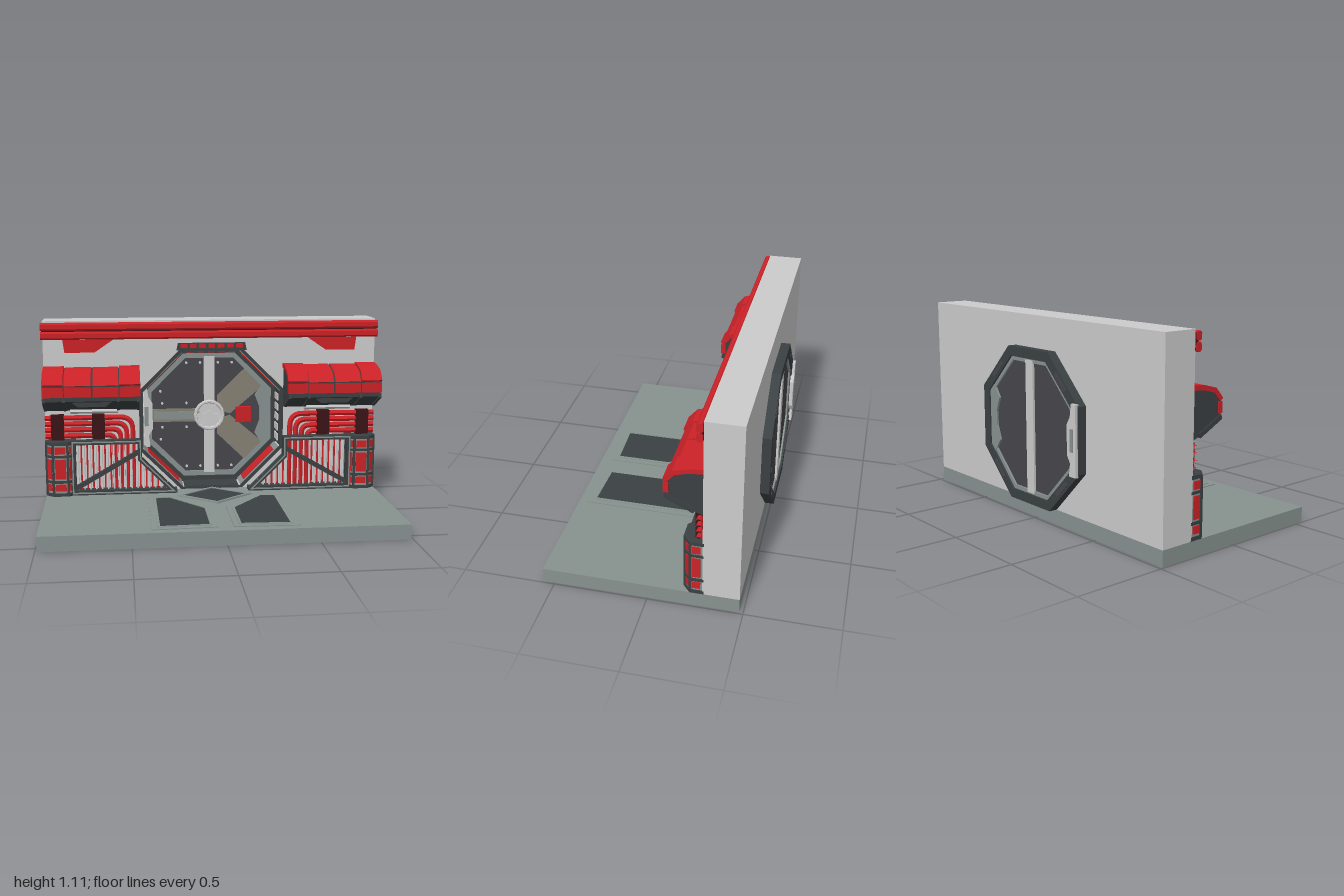
import * as THREE from 'three';

const mat = (color) => new THREE.MeshStandardMaterial({ color, flatShading: true });
const WALL = mat(0xcccccc), FLOOR = mat(0x87928f), DARK = mat(0x3b4042), PANEL = mat(0x47474b),
  RED = mat(0xcc2227), MAROON = mat(0x3a1416), BEIGE = mat(0x858173), LIGHT = mat(0xbdbdc0);

function add(parent, name, geo, material, x = 0, y = 0, z = 0) {
  const m = new THREE.Mesh(geo, material);
  m.name = name;
  m.position.set(x, y, z);
  parent.add(m);
  return m;
}
// Box given by its limits
const box = (p, name, m, x0, x1, y0, y1, z0, z1) =>
  add(p, name, new THREE.BoxGeometry(x1 - x0, y1 - y0, z1 - z0), m, (x0 + x1) / 2, (y0 + y1) / 2, (z0 + z1) / 2);
const toV = (pts) => pts.map(([a, b]) => new THREE.Vector2(a, b));
function slabGeo(pts, depth, hole) {
  const s = new THREE.Shape(toV(pts));
  if (hole) s.holes.push(new THREE.Path(toV(hole)));
  return new THREE.ExtrudeGeometry(s, { depth, bevelEnabled: false });
}
// Outline in x,y, from z0 to z1
const slab = (p, name, m, pts, z0, z1, hole) => add(p, name, slabGeo(pts, z1 - z0, hole), m, 0, 0, z0);
// Outline in z,y, from x0 to x1
function sweepX(p, name, m, pts, x0, x1) {
  return add(p, name, slabGeo(pts, x1 - x0).rotateY(-Math.PI / 2), m, x1, 0, 0);
}
// Outline in x,z, from y0 to y1
function plate(p, name, m, pts, y0, y1, hole) {
  return add(p, name, slabGeo(pts, y1 - y0, hole).rotateX(Math.PI / 2), m, 0, y1, 0);
}
// Straight bar between two x,y points
function bar(p, name, m, a, b, w, z0, z1) {
  const o = box(p, name, m, -Math.hypot(b[0] - a[0], b[1] - a[1]) / 2, Math.hypot(b[0] - a[0], b[1] - a[1]) / 2, -w / 2, w / 2, z0, z1);
  o.position.set((a[0] + b[0]) / 2, (a[1] + b[1]) / 2, (z0 + z1) / 2);
  o.rotation.z = Math.atan2(b[1] - a[1], b[0] - a[0]);
}
// Offset a closed outline by d (sign follows its winding)
function grow(pts, d) {
  const n = pts.length, s = Math.sign(THREE.ShapeUtils.area(toV(pts)));
  return pts.map((q, i) => {
    const nrm = (a, b) => { const l = Math.hypot(b[0] - a[0], b[1] - a[1]); return [s * (b[1] - a[1]) / l, -s * (b[0] - a[0]) / l]; };
    const u = nrm(pts[(i + n - 1) % n], q), v = nrm(q, pts[(i + 1) % n]), k = d / (1 + u[0] * v[0] + u[1] * v[1]);
    return [q[0] + (u[0] + v[0]) * k, q[1] + (u[1] + v[1]) * k];
  });
}
const CY = 0.51;
const oct = (r) => Array.from({ length: 8 }, (_, i) => {
  const a = Math.PI * (i + 0.5) / 4, R = r / Math.cos(Math.PI / 8);
  return [R * Math.cos(a), CY + R * Math.sin(a)];
});
const atDoor = (pts) => pts.map(([x, y]) => [x, y + CY]);

function buildFloor(root) {
  const g = new THREE.Group(); g.name = 'floor'; root.add(g);
  box(g, 'floorSlab', FLOOR, -0.99, 0.99, 0, 0.083, -0.48, 0.56);
  const side = [[0.35, -0.08], [0.27, -0.085], [0.085, 0.15], [0.085, 0.46], [0.35, 0.47]];
  const diamond = [[0, -0.27], [0.19, -0.125], [0, 0.03], [-0.19, -0.125]];
  for (const pts of [side, side.map(([x, z]) => [-x, z]), diamond]) {
    plate(g, 'floorPanel', DARK, pts, 0.08, 0.086);
    plate(g, 'floorPanelRim', FLOOR, grow(pts, pts === diamond ? 0.02 : 0.045), 0.08, 0.088, pts);
    plate(g, 'floorPanelInnerRim', FLOOR, grow(pts, 0.015), 0.08, 0.091, pts);
  }
}

function buildDoor(root) {
  const g = new THREE.Group(); g.name = 'door'; root.add(g);
  slab(g, 'doorLeaf', PANEL, oct(0.42), -0.51, -0.455);
  slab(g, 'backFrame', DARK, oct(0.425), -0.53, -0.478, oct(0.372));
  slab(g, 'backTrim', FLOOR, oct(0.372), -0.52, -0.505, oct(0.35));
  slab(g, 'frontFrame', DARK, oct(0.42), -0.46, -0.435, oct(0.385));
  slab(g, 'frontTrim', FLOOR, oct(0.385), -0.46, -0.442, oct(0.355));
  slab(g, 'frontLip', DARK, oct(0.435), -0.29, -0.284, oct(0.415));
  const notch = atDoor([[0.38, 0.2], [0.34, 0.2], [0.285, 0.12], [0.315, 0.04], [0.315, -0.04], [0.285, -0.12], [0.34, -0.2], [0.38, -0.2]]);
  const grip = atDoor([[-0.42, 0.19], [-0.385, 0.19], [-0.375, 0.12], [-0.35, 0.08], [-0.35, -0.08], [-0.375, -0.12], [-0.365, -0.19], [-0.42, -0.19]]);
  // Both faces carry a centre strip, a notch trim and a grip
  for (const [z0, z1, gz0, gz1] of [[-0.462, -0.44, -0.44, -0.42], [-0.522, -0.505, -0.545, -0.525]]) {
    box(g, 'centreStrip', LIGHT, -0.032, 0.032, CY - 0.365, CY + 0.365, z0, z1);
    slab(g, 'notchTrim', FLOOR, notch, z0, z1);
    slab(g, 'grip', LIGHT, grip, gz0, gz1);
    box(g, 'gripInset', FLOOR, -0.4, -0.375, CY - 0.06, CY + 0.06, gz0 - 0.002, gz1 + 0.002);
  }
  // Cross arms, red plate and hub wheel
  const arm = [[0.05, 0.03], [0.05, 0.12], [0.22, 0.285], [0.27, 0.285], [0.36, 0.2], [0.13, 0.005]];
  slab(g, 'upperArm', BEIGE, atDoor(arm), -0.46, -0.443);
  slab(g, 'lowerArm', BEIGE, atDoor(arm.map(([x, y]) => [x, -y])), -0.46, -0.443);
  box(g, 'sideArm', BEIGE, -0.35, -0.06, CY - 0.04, CY + 0.04, -0.46, -0.443);
  box(g, 'sideArmRib', FLOOR, -0.34, -0.06, CY - 0.025, CY + 0.025, -0.45, -0.44);
  box(g, 'redPlate', RED, 0.165, 0.26, CY - 0.047, CY + 0.047, -0.46, -0.43);
  const disc = (r, z0, z1) => add(g, 'hub', new THREE.CylinderGeometry(r, r, z1 - z0, 12).rotateX(Math.PI / 2), LIGHT, 0, CY, (z0 + z1) / 2);
  disc(0.09, -0.46, -0.44);
  disc(0.03, -0.45, -0.425);
  add(g, 'wheelRim', new THREE.TorusGeometry(0.085, 0.011, 6, 16), LIGHT, 0, CY, -0.435);
  for (let i = 0; i < 3; i++) box(g, 'wheelSpoke', LIGHT, -0.085, 0.085, -0.01, 0.01, -0.44, -0.43).rotation.z = i * Math.PI / 3;
  g.children.filter((o) => o.name === 'wheelSpoke').forEach((o) => { o.position.y = CY; });
  for (const [x, y] of [[0.055, 0.325], [0.14, 0.325], [0.3, 0.15], [0.29, 0.075], [0.14, 0.075]])
    for (const sx of [-1, 1]) for (const sy of [-1, 1]) {
      if (sx > 0 && y < 0.2) continue;
      add(g, 'bolt', new THREE.CylinderGeometry(0.008, 0.008, 0.012, 8).rotateX(Math.PI / 2), LIGHT, sx * x, CY + sy * y, -0.45);
    }
  // Lining of the opening: red slanted panels, vents elsewhere
  for (let i = 0; i < 8; i++) {
    const side = new THREE.Group(); side.name = 'openingLining';
    side.position.y = CY; side.rotation.z = i * Math.PI / 4; g.add(side);
    box(side, 'liningBase', i % 2 ? FLOOR : DARK, 0.411, 0.419, -0.165, 0.165, -0.44, -0.29);
    if (i % 2) box(side, 'liningPanel', RED, 0.406, 0.413, -0.13, 0.13, -0.42, -0.305);
    else if (i !== 6) for (let k = -2; k <= 2; k++)
      box(side, 'liningVent', i === 2 ? RED : LIGHT, 0.403, 0.413, k * 0.062 - 0.02, k * 0.062 + 0.02, -0.41, -0.31);
    if (i % 2) box(side, 'backSlot', PANEL, 0.385, 0.41, -0.06, 0.06, -0.533, -0.525);
  }
  // Vent strip above the opening
  slab(g, 'topVent', DARK, [[-0.21, 0.93], [0.21, 0.93], [0.2, 0.975], [-0.2, 0.975]], -0.29, -0.278);
  for (let k = -3; k <= 3; k++) box(g, 'topVentSlot', RED, k * 0.055 - 0.02, k * 0.055 + 0.02, 0.945, 0.97, -0.28, -0.273);
}

// Everything on one side of the door, made for +x
function buildSide() {
  const g = new THREE.Group();
  // Storage pod
  sweepX(g, 'podBody', DARK, [[-0.288, 0.835], [-0.22, 0.828], [-0.145, 0.805], [-0.1, 0.755], [-0.1, 0.665], [-0.245, 0.594], [-0.288, 0.58]], 0.435, 0.985);
  const outer = [[-0.288, 0.846], [-0.22, 0.84], [-0.138, 0.818], [-0.09, 0.763]];
  const inner = [[-0.11, 0.75], [-0.15, 0.795], [-0.22, 0.815], [-0.288, 0.82]];
  for (const [x0, x1, d] of [[0.43, 0.55, 0], [0.555, 0.702, 0.007], [0.712, 0.865, 0.007], [0.87, 0.99, 0]]) {
    sweepX(g, 'podCover', RED, [...outer.map(([z, y]) => [z - d * (z > -0.28), y - d]), ...inner], x0, x1);
    box(g, 'podFrontBand', RED, x0, x1, 0.69, 0.748, -0.12, -0.093 - d / 2);
  }
  for (const x of [0.435, 0.55, 0.86, 0.975])
    sweepX(g, 'podRib', DARK, [[-0.1, 0.685], [-0.093, 0.66], [-0.24, 0.586], [-0.25, 0.61]], x, x + 0.015);
  slab(g, 'podUnderPlate', DARK, [[0.58, 0.67], [0.84, 0.67], [0.79, 0.63], [0.63, 0.63]], -0.17, -0.115);
  sweepX(g, 'podLamp', LIGHT, [[-0.245, 0.595], [-0.24, 0.58], [-0.265, 0.565], [-0.282, 0.572], [-0.28, 0.59]], 0.56, 0.84);
  // Nested pipes that turn down beside the door
  for (let i = 0; i < 4; i++) {
    const x = 0.475 + i * 0.036, y = 0.54 - i * 0.036, r = 0.075 - i * 0.013, z = -0.268, path = new THREE.CurvePath();
    const v = (a, b) => new THREE.Vector3(a, b, z);
    path.add(new THREE.LineCurve3(v(0.99, y), v(x + r, y)));
    path.add(new THREE.QuadraticBezierCurve3(v(x + r, y), v(x, y), v(x, y - r)));
    path.add(new THREE.LineCurve3(v(x, y - r), v(x, 0.06)));
    add(g, 'pipe', new THREE.TubeGeometry(path, 48, 0.0165, 6), RED);
  }
  for (const x of [0.64, 0.88]) box(g, 'pipeStrap', MAROON, x, x + 0.075, 0.41, 0.56, -0.288, -0.245);
  // Guard rail with slanted inner edge
  const rail = [[0.215, 0.088], [0.84, 0.088], [0.84, 0.412], [0.425, 0.412], [0.425, 0.3]];
  slab(g, 'railFrame', DARK, rail, -0.255, -0.2, grow(rail, -0.024));
  slab(g, 'railTrim', FLOOR, grow(rail, -0.004), -0.2, -0.196, grow(rail, -0.012));
  bar(g, 'railBrace', DARK, [0.43, 0.345], [0.83, 0.115], 0.026, -0.235, -0.202);
  box(g, 'railFoot', DARK, 0.215, 0.84, 0.083, 0.1, -0.275, -0.2);
  for (let i = 0; i < 31; i++) {
    const x = 0.275 + i * 0.0175, top = x < 0.44 ? 0.1 + (x - 0.225) * 0.95 : 0.4, red = i % 2;
    add(g, 'railBar', new THREE.CylinderGeometry(0.0055, 0.0055, top - 0.095, 6), red ? RED : LIGHT, x, (top + 0.095) / 2, red ? -0.245 : -0.228);
  }
  // Locker with chamfered corners
  const plan = [[0.82, -0.288], [0.82, -0.225], [0.86, -0.19], [0.945, -0.19], [0.985, -0.225], [0.985, -0.288]];
  plate(g, 'lockerBody', FLOOR, plan, 0.09, 0.4);
  for (const [y0, y1] of [[0.083, 0.102], [0.162, 0.178], [0.316, 0.33], [0.39, 0.41]])
    plate(g, 'lockerBand', DARK, grow(plan, 0.006), y0, y1);
  for (const [x, z] of plan.slice(1, 5)) box(g, 'lockerEdge', DARK, x - 0.007, x + 0.007, 0.09, 0.4, z - 0.008, z + 0.006);
  for (const [y0, y1] of [[0.115, 0.155], [0.188, 0.306], [0.338, 0.38]])
    for (let i = 1; i < 5; i++) {
      const a = plan[i], b = plan[i + 1], dx = b[0] - a[0], dz = b[1] - a[1], L = Math.hypot(dx, dz);
      const m = box(g, 'lockerPanel', RED, -L / 2 + 0.011, L / 2 - 0.011, y0, y1, -0.005, 0.005);
      m.position.x = (a[0] + b[0]) / 2; m.position.z = (a[1] + b[1]) / 2;
      m.rotation.y = -Math.atan2(dz, dx);
    }
  // Bracket under the top beam
  slab(g, 'beamBracket', RED, [[0.58, 1.0], [0.69, 0.925], [0.865, 0.925], [0.875, 1.0]], -0.29, -0.28);
  return g;
}

export function createModel() {
  const root = new THREE.Group(); root.name = 'doorwayScene';
  buildFloor(root);
  // Wall with octagonal opening
  slab(root, 'wall', WALL, [[-0.99, 0.083], [0.99, 0.083], [0.99, 1.11], [-0.99, 1.11]], -0.48, -0.288, oct(0.419));
  buildDoor(root);
  // Double-lobed beam along the top
  for (const y of [1.003, 1.055])
    sweepX(root, 'topBeam', RED, [[-0.288, y + 0.008], [-0.28, y], [-0.263, y], [-0.255, y + 0.01], [-0.255, y + 0.036], [-0.263, y + 0.046], [-0.28, y + 0.046], [-0.288, y + 0.038]], -1, 1);
  box(root, 'beamCore', MAROON, -0.995, 0.995, 1.01, 1.095, -0.289, -0.272);
  const left = buildSide(), right = buildSide();
  left.name = 'leftSide'; right.name = 'rightSide';
  right.scale.x = -1;
  root.add(left, right);
  return root;
}
